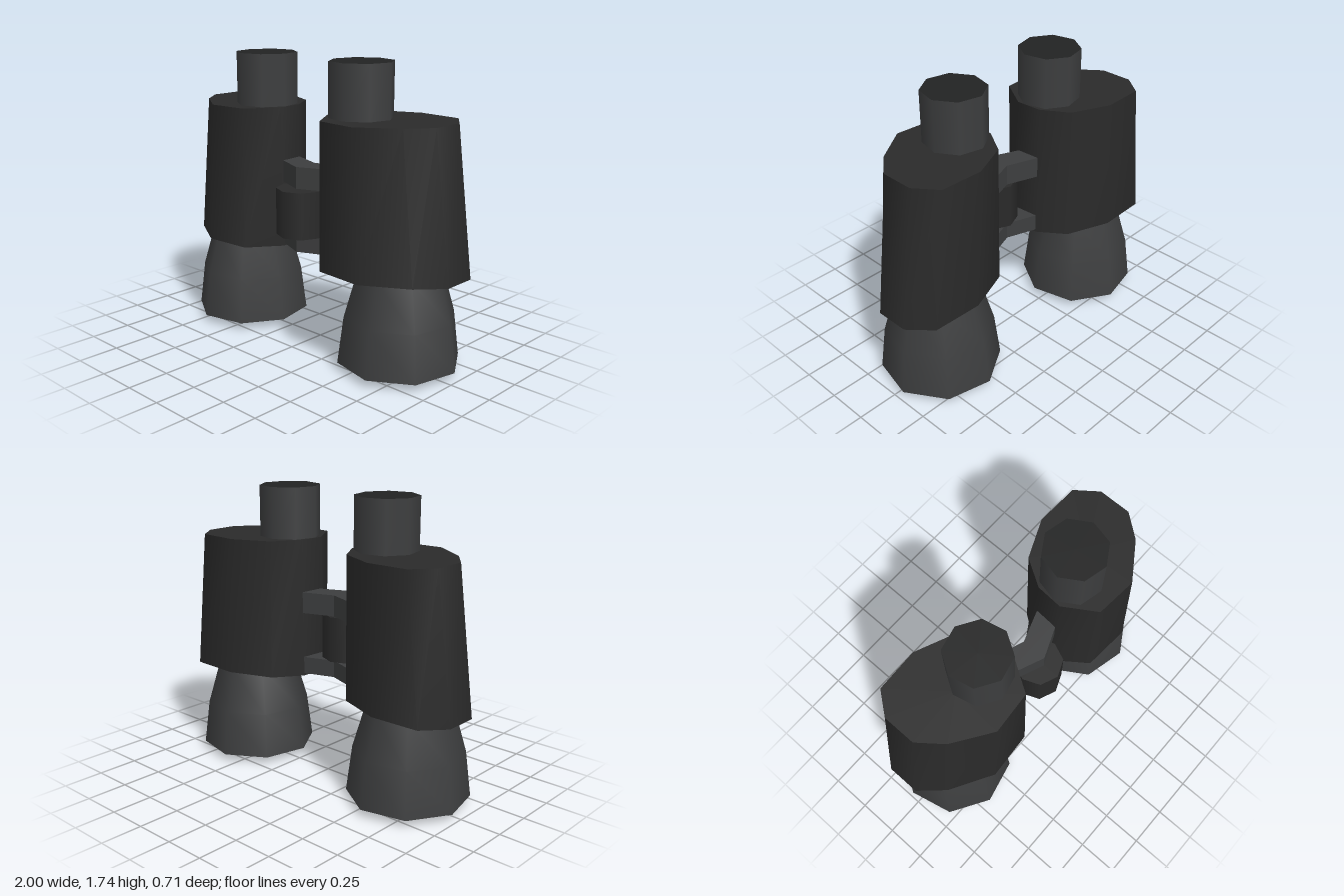
import * as THREE from 'three';
import { toCreasedNormals } from 'three/addons/utils/BufferGeometryUtils.js';

const material = (color) => new THREE.MeshStandardMaterial({ color });
const rubber = material(0x2a2a2a);
const metal = material(0x3d3e3f);
const black = material(0x222323);
const glass = material(0x15203c);

function add(parent, name, geometry, mat) {
  const mesh = new THREE.Mesh(geometry, mat);
  mesh.name = name;
  parent.add(mesh);
  return mesh;
}

// eight-sided turned part from [radius, y] pairs, bottom to top
function turned(profile, turn) {
  const points = profile.map(([r, y]) => new THREE.Vector2(r, y));
  return new THREE.LatheGeometry(points, 8).rotateY(turn);
}

// top outline of the left housing as [x, z], running from +z towards +x
const outline = [
  [0.56, 0.35], [0.78, 0.20], [0.89, 0.06], [0.89, -0.14], [0.79, -0.27],
  [0.53, -0.28], [0.30, -0.18], [0.20, -0.02], [0.19, 0.14], [0.31, 0.33],
];

// ten-sided prism whose rings follow the outline and widen outwards at the bottom
function housing(side) {
  const n = outline.length;
  const geo = new THREE.CylinderGeometry(1, 1, 0.85, n);
  const p = geo.attributes.position;
  for (let i = 0; i < p.count; i++) {
    const x = p.getX(i), z = p.getZ(i), bottom = p.getY(i) < 0;
    let point = [0.54, 0.04];
    if (Math.hypot(x, z) > 0.5) {
      const k = Math.round(Math.atan2(x, z) / (2 * Math.PI) * n) + n;
      point = outline[(side > 0 ? k : 2 * n - k + n) % n];
    }
    const px = bottom ? 0.175 + (point[0] - 0.19) * 1.18 : point[0];
    const pz = bottom ? point[1] * 1.015 : point[1];
    p.setXYZ(i, side * px, p.getY(i) + 1.005, pz);
  }
  return toCreasedNormals(geo, 1.15);
}

// V-shaped hinge arm joining the two housings
function bridge(y, height) {
  const shape = new THREE.Shape([
    [-0.23, -0.11], [0, -0.205], [0.23, -0.11], [0.23, 0.03], [0, -0.05], [-0.23, 0.03],
  ].map(([x, v]) => new THREE.Vector2(x, v)));
  const geo = new THREE.ExtrudeGeometry(shape, { depth: height, bevelEnabled: false });
  return geo.rotateX(-Math.PI / 2).translate(0, y, 0);
}

export function createModel() {
  const model = new THREE.Group();
  model.name = 'binoculars';

  for (const side of [1, -1]) {
    const half = new THREE.Group();
    half.name = side > 0 ? 'leftTube' : 'rightTube';
    model.add(half);
    const turn = side * THREE.MathUtils.degToRad(9.3);

    add(half, 'housing', housing(side), rubber);

    // objective barrel with its rim and pointed lens
    const objective = new THREE.Group();
    objective.name = 'objective';
    objective.position.x = side * 0.625;
    half.add(objective);
    add(objective, 'barrel', turned([[0.36, 0.045], [0.325, 0.32], [0.25, 0.58], [0.245, 0.62]], turn), metal);
    add(objective, 'rim', turned([[0.24, 0.045], [0.36, 0.045]], turn), black);
    add(objective, 'lens', turned([[0, 0], [0.24, 0.045]], turn), glass);

    // eyepiece with a dark cap
    const eyepiece = new THREE.CylinderGeometry(0.186, 0.186, 0.33, 8).rotateY(turn);
    add(half, 'eyepiece', eyepiece, [metal, black, black]).position.set(side * 0.38, 1.575, 0.07);
  }

  // central hinge
  add(model, 'upperBridge', bridge(0.98, 0.13), metal);
  add(model, 'lowerBridge', bridge(0.595, 0.105), metal);
  const knob = new THREE.CylinderGeometry(0.146, 0.146, 0.28, 8);
  add(model, 'focusKnob', knob, rubber).position.set(0, 0.84, 0.165);

  return model;
}
